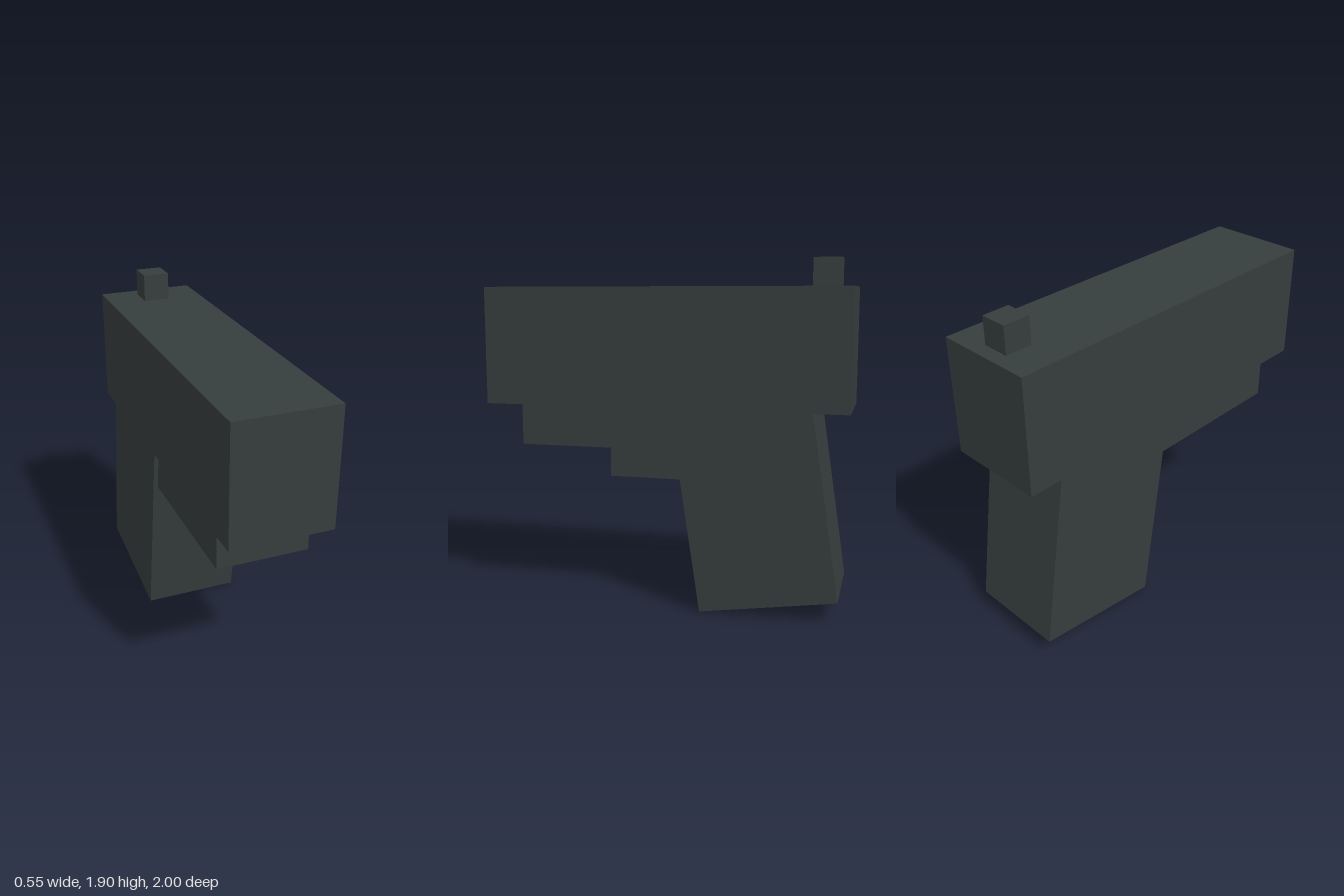
import * as THREE from 'three';

export function createModel() {
  const model = new THREE.Group();
  const darkGrey = new THREE.MeshStandardMaterial({ color: 0x363d3d });
  darkGrey.name = 'darkGrey';

  // Box given by its width and its y and z limits, centred on x = 0
  function addBox(name, width, y0, y1, z0, z1) {
    const mesh = new THREE.Mesh(new THREE.BoxGeometry(width, y1 - y0, z1 - z0), darkGrey);
    mesh.name = name;
    mesh.position.set(0, (y0 + y1) / 2, (z0 + z1) / 2);
    model.add(mesh);
  }

  addBox('slide', 0.546, 1.106, 1.75, -1, 1);
  addBox('rearSight', 0.148, 1.75, 1.9, -0.923, -0.775);
  addBox('lowerFrame', 0.496, 0.88, 1.106, -0.3, 0.8);
  addBox('trigger', 0.1, 0.68, 0.88, -0.3, 0.35);

  // Slanted grip: side outline (z, y) extruded across the width
  const outline = new THREE.Shape([
    [-0.055, 1.106], [-0.222, 0], [-0.962, 0.114], [-0.812, 1.106],
  ].map(([z, y]) => new THREE.Vector2(-z, y)));
  const gripGeometry = new THREE.ExtrudeGeometry(outline, { depth: 0.546, bevelEnabled: false });
  gripGeometry.translate(0, 0, -0.273);
  gripGeometry.rotateY(Math.PI / 2);
  const grip = new THREE.Mesh(gripGeometry, darkGrey);
  grip.name = 'grip';
  model.add(grip);

  return model;
}
